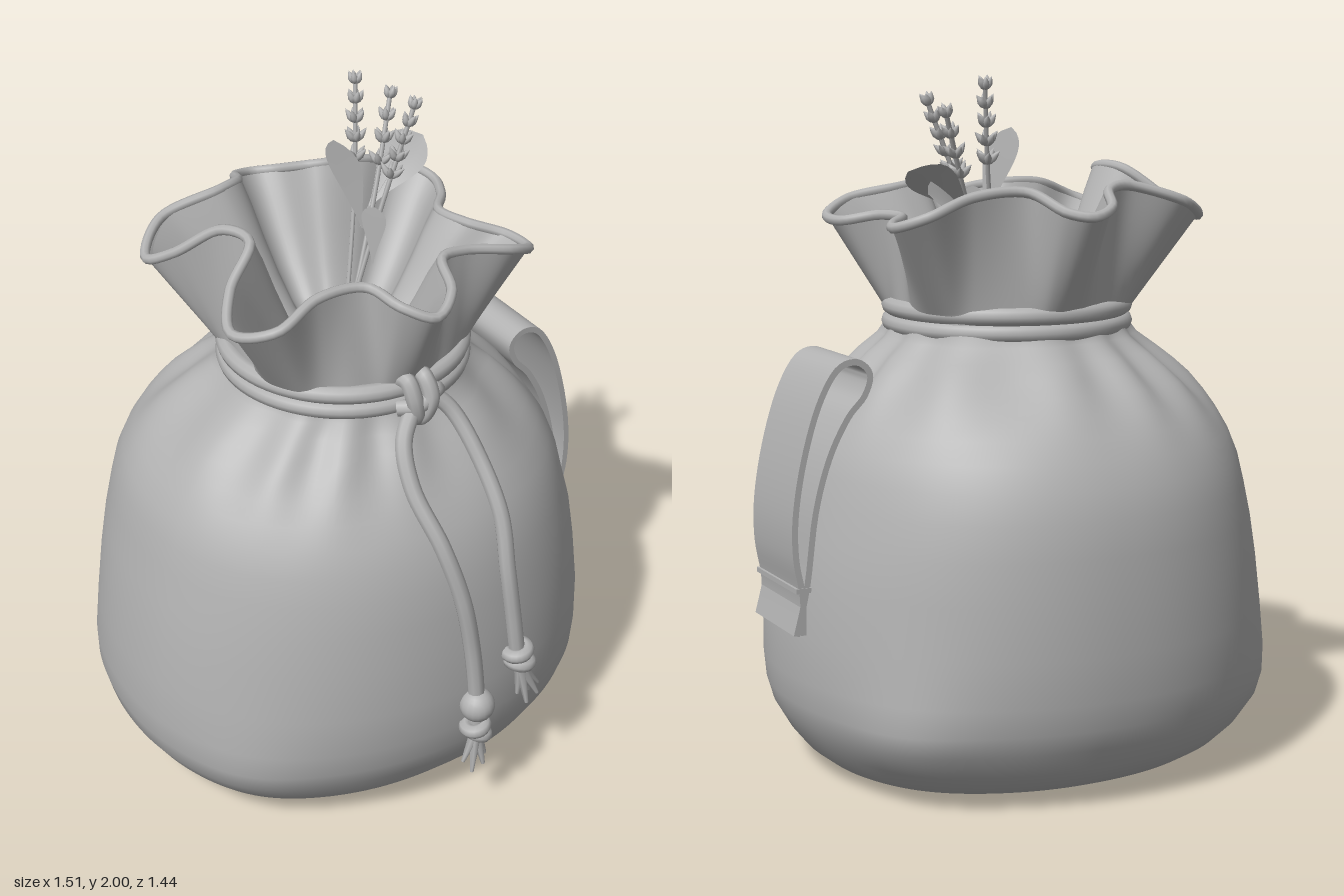
import * as THREE from 'three';
import { toCreasedNormals } from 'three/addons/utils/BufferGeometryUtils.js';

const V = (x, y, z) => new THREE.Vector3(x, y, z);
const grey = new THREE.MeshStandardMaterial({ color: 0xb2b2b2, side: THREE.DoubleSide });
grey.name = 'plain grey';

// Mouth edge, back lobe first and round by the left: x, y, z
const RIM = [
  [0, 1.62, -0.51], [0.06, 1.63, -0.47], [0.12, 1.68, -0.35], [0.27, 1.67, -0.32], [0.41, 1.62, -0.325],
  [0.47, 1.59, -0.25], [0.43, 1.59, -0.14], [0.355, 1.6, -0.04], [0.38, 1.6, 0.06], [0.46, 1.58, 0.15],
  [0.455, 1.59, 0.26], [0.37, 1.63, 0.305], [0.22, 1.66, 0.28], [0.13, 1.67, 0.3], [0.08, 1.64, 0.42],
  [0, 1.61, 0.47], [-0.08, 1.64, 0.42], [-0.12, 1.66, 0.31], [-0.26, 1.66, 0.29], [-0.4, 1.61, 0.31],
  [-0.48, 1.58, 0.21], [-0.42, 1.64, 0.1], [-0.31, 1.72, 0.02], [-0.34, 1.72, -0.08], [-0.44, 1.63, -0.18],
  [-0.485, 1.59, -0.26], [-0.38, 1.64, -0.365], [-0.2, 1.69, -0.34], [-0.12, 1.68, -0.38], [-0.07, 1.64, -0.48],
].map((p) => V(...p));

// Belly rows: y, right, left, front and back extents
const ROWS = [
  [0, 0.001, 0.001, 0.001, 0.001], [0, 0.3, 0.3, 0.25, 0.25], [0, 0.53, 0.5, 0.42, 0.43],
  [0.025, 0.61, 0.575, 0.49, 0.52], [0.06, 0.65, 0.62, 0.53, 0.58], [0.11, 0.69, 0.66, 0.575, 0.635],
  [0.18, 0.735, 0.7, 0.615, 0.675], [0.24, 0.75, 0.717, 0.635, 0.695], [0.32, 0.755, 0.725, 0.648, 0.708],
  [0.45, 0.745, 0.725, 0.655, 0.715], [0.6, 0.725, 0.71, 0.64, 0.71], [0.72, 0.703, 0.69, 0.628, 0.703],
  [0.82, 0.68, 0.663, 0.608, 0.69], [0.9, 0.664, 0.645, 0.585, 0.665], [0.97, 0.638, 0.618, 0.553, 0.632],
  [1.03, 0.603, 0.583, 0.515, 0.592], [1.08, 0.563, 0.545, 0.478, 0.55], [1.13, 0.515, 0.5, 0.44, 0.5],
  [1.17, 0.468, 0.46, 0.41, 0.455], [1.21, 0.418, 0.42, 0.376, 0.412], [1.25, 0.368, 0.37, 0.35, 0.36],
  [1.3, 0.335, 0.335, 0.335, 0.33],
];

// Soft corners near the base: angle, height of the swelling
const CORNERS = [[-0.74, 0.055], [0.64, 0.015], [2.43, 0.03], [-2.56, 0.02]];

// Skin over rows of points; closed rows wrap round
function loft(rows, closed = true) {
  const n = rows[0].length, idx = [];
  for (let i = 0; i < rows.length - 1; i++) {
    for (let j = 0; j < (closed ? n : n - 1); j++) {
      const k = (j + 1) % n, a = i * n + j, b = i * n + k;
      idx.push(a, a + n, b, b, a + n, b + n);
    }
  }
  const g = new THREE.BufferGeometry().setFromPoints(rows.flat());
  g.setIndex(idx);
  g.computeVertexNormals();
  return g;
}

function add(parent, name, geo, pos) {
  const m = new THREE.Mesh(geo, grey);
  m.name = name;
  if (pos) m.position.set(...pos);
  parent.add(m);
  return m;
}

function cord(parent, name, pts, r) {
  const c = new THREE.CatmullRomCurve3(pts.map((p) => V(...p)));
  add(parent, name, new THREE.TubeGeometry(c, pts.length * 7, r, 9));
}

const bell = (y, mid, width) => Math.exp(-(((y - mid) / width) ** 2));

function buildBag(bag) {
  const curve = new THREE.CatmullRomCurve3(RIM, true);
  const rim = curve.getSpacedPoints(240).slice(0, 240);
  const angles = rim.map((p) => Math.atan2(p.z + 0.02, p.x));
  const ring = ([y, right, left, front, back]) => angles.map((a) => {
    const c = Math.cos(a), s = Math.sin(a);
    const sq = Math.pow(Math.abs(c) ** 2.15 + Math.abs(s) ** 2.15, -1 / 2.15);
    let k = 1;
    for (const [at, size] of CORNERS) k += size * bell(a, at, 0.26) * bell(y, 0.2, 0.15);
    // Gathered pleats under the neck
    k += 0.035 * bell(y, 1.18, 0.1) * Math.sin(13 * a + 1.5 * Math.sin(3 * a));
    k *= sq;
    return V(c * k * (c > 0 ? left : right), y, s * k * (s > 0 ? front : back));
  });
  const rows = ROWS.map(ring);
  const neck = rows[rows.length - 1];
  for (let i = 1; i <= 8; i++) rows.push(rim.map((p, j) => neck[j].clone().lerp(p, i / 8)));
  add(bag, 'bagOuter', loft(rows));
  // Lining falls from the lip to the drawn-shut throat
  const lining = [[0.96, 1], [0.86, 0.86], [0.74, 0.66], [0.6, 0.45], [0.45, 0.26], [0.25, 0.08], [0.002, 0]]
    .map(([s, h]) => rim.map((p) => V(p.x * s, 1.22 + (p.y - 1.22) * h, -0.02 + (p.z + 0.02) * s)));
  add(bag, 'bagLining', loft(lining));
  add(bag, 'rolledLip', new THREE.TubeGeometry(curve, 180, 0.015, 8, true));
}

// Frayed cord end: thin tapering strands
function tassel(parent, x, y, z, lean) {
  for (let i = 0; i < 6; i++) {
    const a = (i / 6) * Math.PI * 2, len = 0.1 + 0.015 * (i % 3);
    const from = V(x, y, z), to = V(x + lean + 0.04 * Math.cos(a), y - len, z + 0.025 * Math.sin(a));
    const m = add(parent, 'tasselStrand', new THREE.CylinderGeometry(0.006, 0.018, len, 6));
    m.position.copy(from).lerp(to, 0.5);
    m.quaternion.setFromUnitVectors(V(0, 1, 0), to.sub(from).normalize());
  }
}

function coil(parent, pos, r, tube, tilt) {
  const m = add(parent, 'cordWrap', new THREE.TorusGeometry(r, tube, 8, 20), pos);
  m.rotation.set(Math.PI / 2, tilt, 0);
}

function buildDrawstring(g) {
  // Two turns round the neck
  for (const y of [1.333, 1.285]) {
    const m = add(g, 'neckCord', new THREE.TorusGeometry(0.34, 0.027, 10, 64), [-0.003, y, 0.006]);
    m.rotation.x = Math.PI / 2;
  }
  // Front knot
  cord(g, 'knotLoop', [[-0.03, 1.36, 0.34], [-0.025, 1.365, 0.37], [-0.015, 1.31, 0.395], [0, 1.25, 0.385], [0.01, 1.24, 0.35]], 0.025);
  cord(g, 'knotLoop', [[0.03, 1.36, 0.34], [0.03, 1.365, 0.37], [0.035, 1.31, 0.4], [0.015, 1.25, 0.39], [0, 1.24, 0.36]], 0.025);
  cord(g, 'knotCross', [[-0.05, 1.28, 0.36], [0, 1.29, 0.395], [0.06, 1.31, 0.38], [0.09, 1.29, 0.35]], 0.024);
  // Hanging ends
  cord(g, 'longEnd', [[-0.01, 1.28, 0.38], [-0.07, 1.21, 0.425], [-0.085, 1.1, 0.495], [-0.05, 0.95, 0.595],
    [-0.01, 0.78, 0.645], [0.02, 0.6, 0.66], [0.035, 0.42, 0.67], [0.035, 0.3, 0.675]], 0.025);
  cord(g, 'shortEnd', [[0.06, 1.3, 0.36], [0.11, 1.24, 0.395], [0.145, 1.13, 0.47], [0.165, 0.97, 0.57],
    [0.163, 0.8, 0.62], [0.178, 0.63, 0.64], [0.195, 0.47, 0.65]], 0.024);
  add(g, 'bead', new THREE.SphereGeometry(0.052, 18, 14), [0.035, 0.4, 0.675]);
  coil(g, [0.03, 0.325, 0.675], 0.028, 0.021, 0.2);
  coil(g, [0.04, 0.295, 0.675], 0.026, 0.02, -0.35);
  tassel(g, 0.035, 0.295, 0.675, -0.005);
  coil(g, [0.192, 0.515, 0.645], 0.031, 0.021, 0.15);
  coil(g, [0.198, 0.478, 0.65], 0.031, 0.021, -0.2);
  tassel(g, 0.2, 0.455, 0.655, 0.035);
}

// Folded side tab: a ribbon outline pushed along z
function buildTab(g) {
  const path = new THREE.SplineCurve([[0.742, 0.46], [0.708, 0.6], [0.68, 0.8], [0.637, 0.95], [0.58, 1.06],
    [0.528, 1.12], [0.511, 1.18], [0.55, 1.216], [0.61, 1.197], [0.667, 1.1], [0.713, 0.95], [0.739, 0.8],
    [0.74, 0.68], [0.722, 0.57], [0.722, 0.46]].map((p) => new THREE.Vector2(...p)));
  const a = [], b = [];
  for (let i = 0; i <= 70; i++) {
    const p = path.getPoint(i / 70), t = path.getTangent(i / 70);
    a.push(new THREE.Vector2(p.x - t.y * 0.009, p.y + t.x * 0.009));
    b.unshift(new THREE.Vector2(p.x + t.y * 0.009, p.y - t.x * 0.009));
  }
  const geo = new THREE.ExtrudeGeometry(new THREE.Shape([...a, ...b]), { depth: 0.29, bevelEnabled: false });
  geo.translate(0, 0, -0.157);
  add(g, 'tabStrap', toCreasedNormals(geo, 0.7));
  add(g, 'tabSeam', new THREE.BoxGeometry(0.045, 0.014, 0.296), [0.72, 0.588, -0.012]);
}

// Oval leaf between two points, spread along a width vector
function leaf(g, base, tip, wide) {
  const rows = [], w = V(...wide), from = V(...base), to = V(...tip);
  for (let i = 0; i <= 12; i++) {
    const t = i / 12, k = Math.max(0, Math.sin(Math.PI * t ** 1.6)) ** 0.8 + 0.06 * (1 - t), row = [];
    for (let j = -2; j <= 2; j++) {
      const p = from.clone().lerp(to, t).addScaledVector(w, (k * j) / 2);
      p.y += 0.02 * Math.sin(Math.PI * t) + 0.004 * Math.abs(j) * k;
      row.push(p);
    }
    rows.push(row);
  }
  add(g, 'leaf', loft(rows, false));
}

function sprig(g, base, mid, tip, whorls) {
  const c = new THREE.CatmullRomCurve3([V(...base), V(...mid), V(...tip)]);
  add(g, 'stem', new THREE.TubeGeometry(c, 14, 0.007, 6));
  // Pointed bud profile
  const bud = new THREE.LatheGeometry([[0, -1], [0.8, -0.5], [1, 0], [0.6, 0.5], [0, 1]].map((p) => new THREE.Vector2(...p)), 7);
  for (let i = 0; i < whorls; i++) {
    const f = i / (whorls - 1), p = c.getPoint(0.64 + 0.32 * f), up = c.getTangent(0.8);
    for (let j = 0; j < 5; j++) {
      const a = (j / 5) * Math.PI * 2 + i * 0.6;
      const dir = up.clone().add(V(Math.cos(a), 0, Math.sin(a)).multiplyScalar(0.9 - 0.45 * f)).normalize();
      const m = add(g, 'bud', bud);
      m.position.copy(p).addScaledVector(dir, 0.025);
      m.scale.set(0.011, 0.03 - 0.008 * f, 0.011);
      m.quaternion.setFromUnitVectors(V(0, 1, 0), dir);
    }
  }
}

function buildFlowers(g) {
  sprig(g, [0.04, 1.3, -0.05], [0.14, 1.66, -0.16], [0.2, 1.978, -0.25], 5);
  sprig(g, [0.04, 1.3, -0.05], [0.18, 1.64, -0.08], [0.305, 1.93, -0.1], 5);
  sprig(g, [0.05, 1.3, -0.05], [0.21, 1.64, -0.16], [0.32, 1.9, -0.25], 4);
  leaf(g, [0.13, 1.58, -0.1], [0.07, 1.85, -0.16], [0.026, 0.005, 0.045]);
  leaf(g, [0.12, 1.5, -0.03], [0.125, 1.68, -0.03], [0.018, 0, 0.035]);
  leaf(g, [0.2, 1.6, -0.17], [0.43, 1.74, -0.24], [0.025, -0.035, 0.055]);
  leaf(g, [0.16, 1.55, -0.16], [0.38, 1.68, -0.26], [0.012, 0.045, 0.03]);
}

export function createModel() {
  const model = new THREE.Group();
  model.name = 'drawstringPouch';
  const parts = { bag: buildBag, drawstring: buildDrawstring, sideTab: buildTab, flowerSprigs: buildFlowers };
  for (const [name, build] of Object.entries(parts)) {
    const g = new THREE.Group();
    g.name = name;
    build(g);
    model.add(g);
  }
  return model;
}
